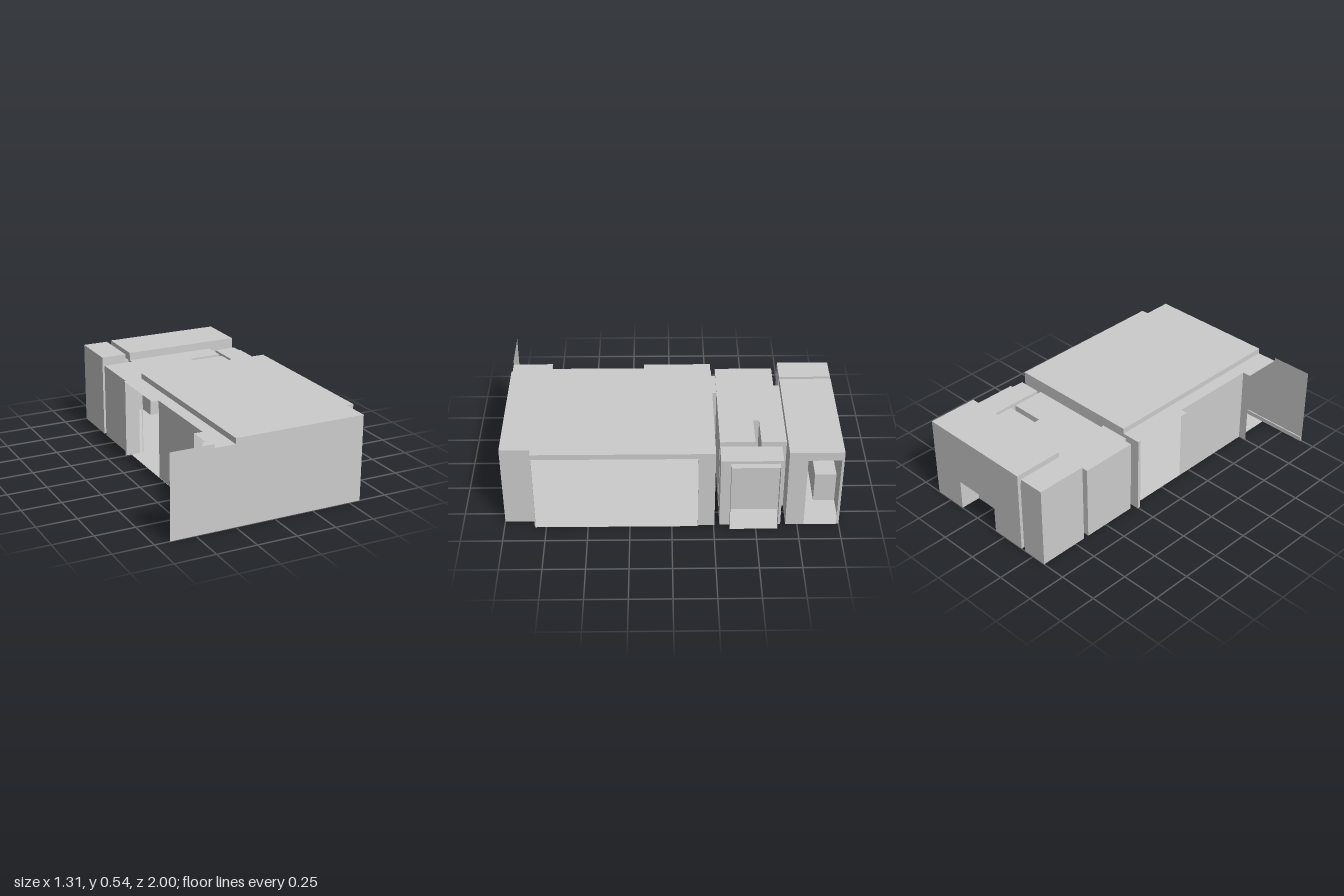
import * as THREE from 'three';

const material = new THREE.MeshStandardMaterial({ color: 0xcccccc, side: THREE.DoubleSide, flatShading: true });

function sheet(points) {
  return new THREE.ShapeGeometry(new THREE.Shape(points.map(([a, b]) => new THREE.Vector2(a, b))));
}

function add(group, name, geometry) {
  const mesh = new THREE.Mesh(geometry, material);
  mesh.name = name;
  group.add(mesh);
  return mesh;
}

// Horizontal sheet from an [x, z] outline
function slab(group, name, outline, y) {
  const geometry = sheet(outline.map(([x, z]) => [x, -z])).rotateX(-Math.PI / 2);
  add(group, name, geometry).position.y = y;
}

const rect = (x0, x1, z0, z1) => [[x0, z0], [x1, z0], [x1, z1], [x0, z1]];

// Upright sheet between two [x, z] points, with an optional opening [from, to, top]
// measured in world x or z, whichever the wall runs along
function wall(group, name, p, q, height, opening) {
  const dx = q[0] - p[0], dz = q[1] - p[1];
  const length = Math.hypot(dx, dz);
  const points = [[0, 0]];
  if (opening) {
    const axis = Math.abs(dx) > Math.abs(dz) ? 0 : 1;
    const [s0, s1] = [opening[0], opening[1]].map((v) => Math.abs(v - p[axis])).sort((a, b) => a - b);
    points.push([s0, 0], [s0, opening[2]], [s1, opening[2]], [s1, 0]);
  }
  points.push([length, 0], [length, height], [0, height]);
  const mesh = add(group, name, sheet(points));
  mesh.position.set(p[0], 0, p[1]);
  mesh.rotation.y = Math.atan2(-dz, dx);
}

// Closed room: floor, ceiling and one wall per outline edge
function room(parent, name, outline, height, openings = {}, floor = outline) {
  const group = new THREE.Group();
  group.name = name;
  slab(group, 'floor', floor, 0);
  slab(group, 'ceiling', outline, height);
  outline.forEach((p, i) => {
    wall(group, 'wall', p, outline[(i + 1) % outline.length], height, openings[i]);
  });
  parent.add(group);
  return group;
}

// Lining of an opening: lintel, threshold and two jambs; along = 'x' or 'z' is the passage direction
function lining(parent, name, x0, x1, z0, z1, top, along, threshold = true) {
  const group = new THREE.Group();
  group.name = name;
  slab(group, 'lintel', rect(x0, x1, z0, z1), top);
  if (threshold) slab(group, 'threshold', rect(x0, x1, z0, z1), 0);
  if (along === 'x') {
    for (const z of [z0, z1]) wall(group, 'jamb', [x0, z], [x1, z], top);
  } else {
    for (const x of [x0, x1]) wall(group, 'jamb', [x, z0], [x, z1], top);
  }
  parent.add(group);
  return group;
}

function baseboard(group, x0, x1, z0, z1) {
  const mesh = add(group, 'baseboard', new THREE.BoxGeometry(x1 - x0, 0.028, z1 - z0));
  mesh.position.set((x0 + x1) / 2, 0.014, (z0 + z1) / 2);
}

function livingRoom(parent) {
  const g = new THREE.Group();
  g.name = 'livingRoom';
  const H = 0.535, low = 0.5;
  slab(g, 'floor', [[-0.335, -0.255], [0.62, -0.255], [0.62, 0.82], [0.573, 0.82], [0.573, 1], [-0.335, 1]], 0);
  slab(g, 'ceiling', [[-0.255, -0.255], [0.62, -0.255], [0.62, 0.82], [0.573, 0.82], [0.573, 1], [-0.255, 1]], H);
  // Lower ceiling over the window side, with the step up to the main ceiling
  slab(g, 'sideCeiling', [[-0.255, -0.255], [-0.255, 1], [-0.387, 1], [-0.387, 0.75],
    [-0.333, 0.75], [-0.333, 0.168], [-0.377, 0.168], [-0.377, -0.255]], low);
  wall(g, 'ceilingStep', [-0.255, -0.255], [-0.255, 1], H - low);
  g.children[g.children.length - 1].position.y = low;
  // Front wall runs on past the room as a screen
  add(g, 'frontWall', sheet([[-0.655, 0], [0.573, 0], [0.573, H], [-0.255, H], [-0.255, low],
    [-0.387, low], [-0.387, 0.523], [-0.655, 0.523]])).position.z = 1;
  baseboard(g, -0.65, 0.57, 0.991, 0.999);
  // Wide opening on the left side
  wall(g, 'leftFrontWall', [0.573, 0.82], [0.573, 1], H);
  wall(g, 'leftReturn', [0.573, 0.82], [0.62, 0.82], H);
  wall(g, 'leftWall', [0.62, -0.255], [0.62, 0.82], H, [-0.155, 0.815, low]);
  lining(g, 'leftOpening', 0.62, 0.628, -0.155, 0.815, low, 'x');
  // Right side: one panel between two openings
  wall(g, 'rightPanel', [-0.333, 0.168], [-0.333, 0.75], low);
  wall(g, 'panelReturn', [-0.333, 0.75], [-0.387, 0.75], low);
  wall(g, 'rightJamb', [-0.377, -0.255], [-0.377, -0.235], low);
  // Back wall with the doorway
  wall(g, 'backWall', [-0.255, -0.255], [0.62, -0.255], H, [-0.25, -0.085, 0.475]);
  wall(g, 'backWallEnd', [-0.377, -0.255], [-0.255, -0.255], low, [-0.275, -0.256, 0.475]);
  baseboard(g, -0.08, 0.615, -0.254, -0.246);
  parent.add(g);
}

export function createModel() {
  const model = new THREE.Group();
  model.name = 'apartment';

  livingRoom(model);
  lining(model, 'hallDoorway', -0.275, -0.085, -0.285, -0.255, 0.475, 'z');

  // Hall with a partition notch, open to the bedroom behind
  room(model, 'hall', [[-0.345, -0.285], [0.44, -0.285], [0.44, -0.495], [0.225, -0.495], [0.225, -0.53],
    [0.44, -0.53], [0.44, -0.68], [-0.15, -0.68], [-0.15, -0.645], [-0.345, -0.645]], 0.485,
  { 0: [-0.275, -0.085, 0.475], 6: [-0.145, 0.435, 0.484] });

  // Small side room with its window opening
  room(model, 'sideRoom', rect(0.472, 0.615, -0.65, -0.285), 0.477, { 1: [-0.63, -0.345, 0.458] });
  lining(model, 'sideRoomOpening', 0.615, 0.655, -0.63, -0.345, 0.458, 'x');

  // Bedroom: hearth recess in the back wall, opening to the left, closet to the right
  room(model, 'bedroom', rect(-0.15, 0.615, -1, -0.68), 0.535,
    { 0: [0.08, 0.39, 0.2], 1: [-0.985, -0.79, 0.478], 2: [-0.145, 0.435, 0.484], 3: [-0.98, -0.7, 0.48] },
    [[-0.15, -1], [0.08, -1], [0.08, -0.87], [0.39, -0.87], [0.39, -1], [0.615, -1], [0.615, -0.68], [-0.15, -0.68]]);
  const recess = lining(model, 'hearthRecess', 0.08, 0.39, -1, -0.87, 0.2, 'z', false);
  wall(recess, 'recessBack', [0.08, -0.87], [0.39, -0.87], 0.2);

  room(model, 'closet', rect(-0.345, -0.18, -1, -0.68), 0.53, { 1: [-0.98, -0.7, 0.48] });
  lining(model, 'closetDoorway', -0.18, -0.15, -0.98, -0.7, 0.48, 'x');

  return model;
}
